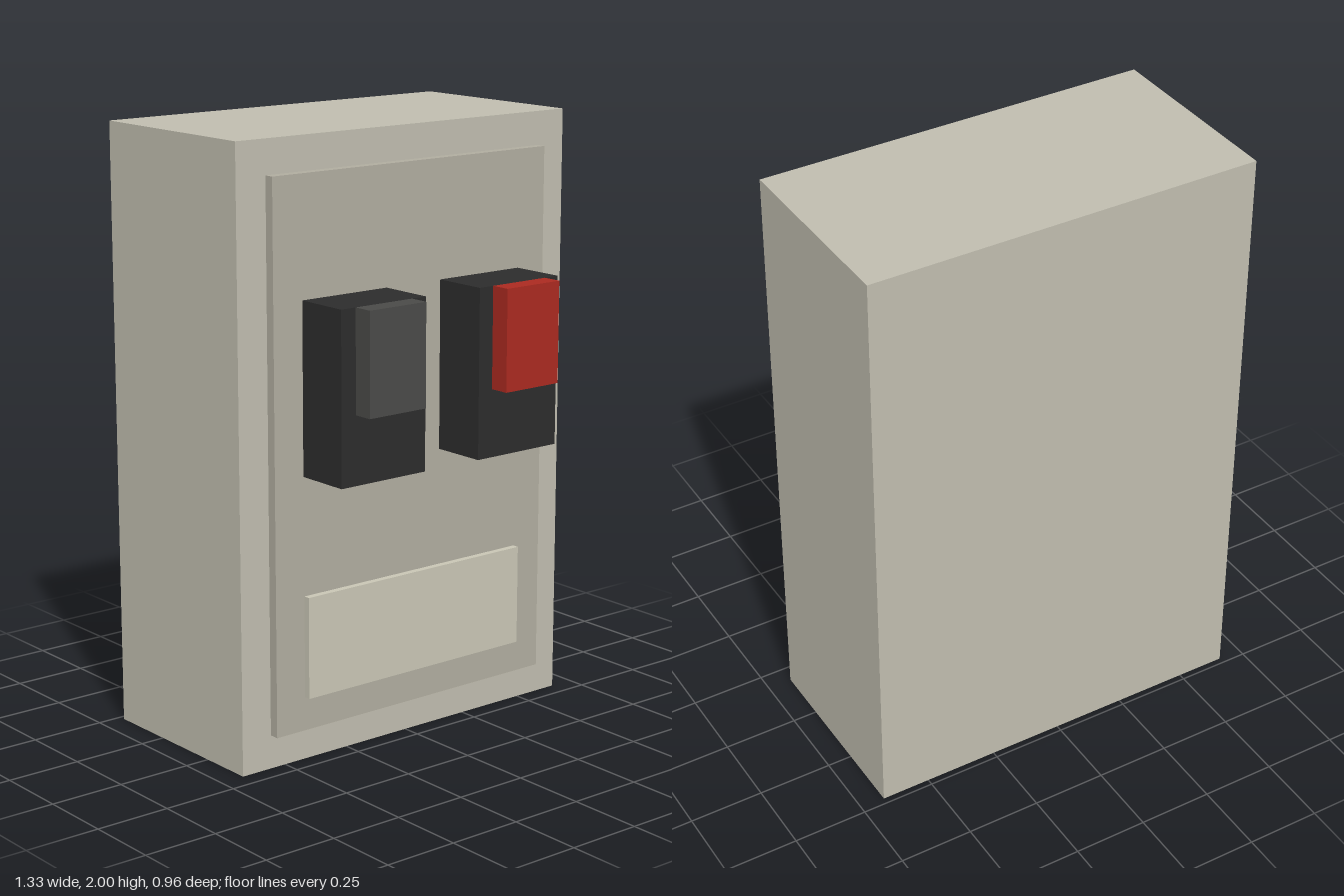
import * as THREE from 'three';

export function createModel() {
  const group = new THREE.Group();
  group.name = 'switchBox';

  // Box given by its min and max corners
  const addBox = (name, color, [x0, y0, z0], [x1, y1, z1]) => {
    const mesh = new THREE.Mesh(
      new THREE.BoxGeometry(x1 - x0, y1 - y0, z1 - z0),
      new THREE.MeshStandardMaterial({ color })
    );
    mesh.position.set((x0 + x1) / 2, (y0 + y1) / 2, (z0 + z1) / 2);
    mesh.name = name;
    group.add(mesh);
  };

  // Enclosure, raised front panel and blank label plate
  addBox('enclosure', 0xbfbcae, [-0.667, 0, -0.478], [0.667, 2, 0.189]);
  addBox('frontPanel', 0xb0ac9f, [-0.556, 0.111, 0.189], [0.556, 1.889, 0.222]);
  addBox('labelPlate', 0xc8c5b4, [-0.444, 0.222, 0.222], [0.444, 0.556, 0.244]);

  // Two switches: dark housing with a toggle on its upper part
  const switches = [
    ['right', -0.278, 0x4a4a48],
    ['left', 0.278, 0xaa2a20],
  ];
  for (const [side, x, color] of switches) {
    addBox(`${side}SwitchHousing`, 0x2c2c2c, [x - 0.167, 0.944, 0.222], [x + 0.167, 1.5, 0.411]);
    addBox(`${side}SwitchToggle`, color, [x - 0.111, 1.167, 0.411], [x + 0.111, 1.5, 0.478]);
  }

  return group;
}
